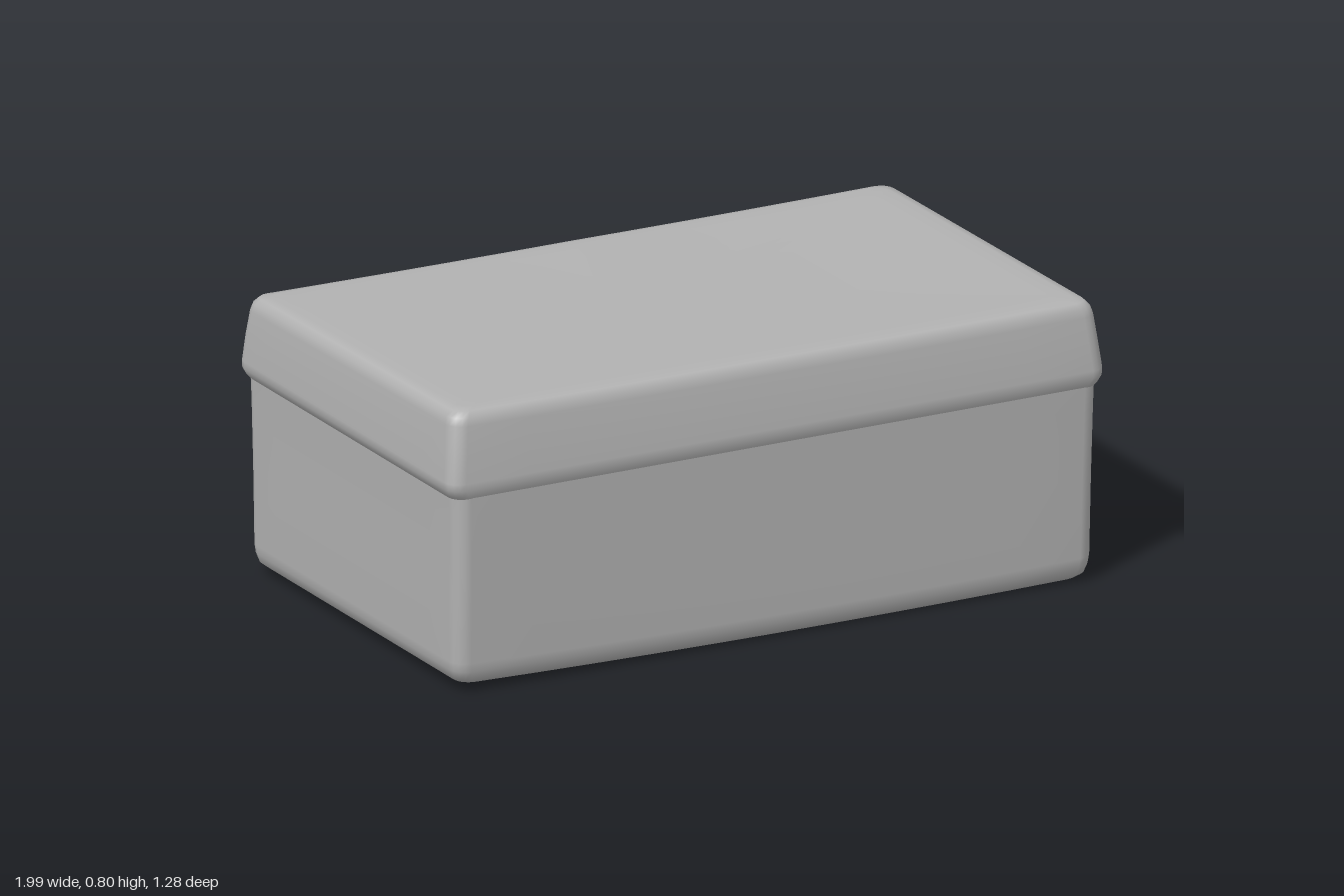
import * as THREE from 'three';

const grey = new THREE.MeshStandardMaterial({ color: 0xb2b2b2 });
grey.name = 'grey';

// Skin closed rings of points into one smooth surface
function loft(rings) {
  const n = rings[0].length, idx = [];
  for (let r = 0; r < rings.length - 1; r++) {
    for (let i = 0; i < n; i++) {
      const a = r * n + i, b = r * n + (i + 1) % n;
      idx.push(a, a + n, b, b, a + n, b + n);
    }
  }
  const g = new THREE.BufferGeometry();
  g.setAttribute('position', new THREE.Float32BufferAttribute(rings.flat(2), 3));
  g.setIndex(idx);
  g.computeVertexNormals();
  return g;
}

// Rounded rectangle ring at height y, with sides divided so it can be warped
function boxRing(y, w, zBack, zFront, radius, warp) {
  const pts = [], d = (zFront - zBack) / 2, zc = (zFront + zBack) / 2;
  const r = Math.min(radius, w, d), signs = [[1, 1], [-1, 1], [-1, -1], [1, -1]];
  const corner = (c, k) => {
    const t = (c + k / 4) * Math.PI / 2;
    return [signs[c][0] * (w - r) + r * Math.cos(t), signs[c][1] * (d - r) + r * Math.sin(t)];
  };
  for (let c = 0; c < 4; c++) {
    for (let k = 0; k < 4; k++) pts.push(corner(c, k));
    const a = corner(c, 4), b = corner((c + 1) % 4, 0);
    for (let k = 0; k < 10; k++) pts.push([a[0] + (b[0] - a[0]) * k / 10, a[1] + (b[1] - a[1]) * k / 10]);
  }
  return pts.map(([x, z]) => [x, y + warp(x, z), z + zc]);
}

// Flat outline extruded backwards from depth z
function plate(points, depth, z) {
  const g = new THREE.ExtrudeGeometry(new THREE.Shape(points.map(p => new THREE.Vector2(...p))),
    { depth, bevelEnabled: false });
  return g.translate(0, 0, z - depth);
}

export function createModel() {
  const model = new THREE.Group();
  const add = (name, geometry) => {
    const m = new THREE.Mesh(geometry, grey);
    m.name = name;
    model.add(m);
    return m;
  };
  const noWarp = () => 0;
  const topWarp = (x, z) => 0.008 * x * x + 0.012 * z - 0.008 * Math.max(0, x);
  const baseWarp = x => 0.012 * (x - 0.3) * (x - 0.3);

  // Lower case: [y, half width, back z, front z, corner radius]
  const body = [
    [0.003, 0.001, 0.03, 0.032, 0.05], [0.003, 0.5, -0.25, 0.32, 0.05], [0.003, 0.92, -0.49, 0.565, 0.04],
    [0.007, 0.94, -0.512, 0.587, 0.04], [0.02, 0.957, -0.53, 0.603, 0.04], [0.045, 0.966, -0.538, 0.613, 0.045],
    [0.07, 0.969, -0.54, 0.616, 0.045], [0.3, 0.971, -0.543, 0.622, 0.045], [0.5, 0.974, -0.547, 0.628, 0.045],
    [0.57, 0.976, -0.549, 0.63, 0.045],
  ];
  add('lowerCase', loft(body.map((p, i) => boxRing(...p, i < 7 ? baseWarp : noWarp))));

  // Overhanging lid, leaning in towards its softly sagging top
  const lid = [
    [0.55, 0.97, -0.545, 0.625, 0.045], [0.565, 0.985, -0.555, 0.632, 0.045], [0.585, 0.995, -0.56, 0.638, 0.045],
    [0.605, 0.996, -0.56, 0.638, 0.045], [0.68, 0.988, -0.554, 0.628, 0.045], [0.745, 0.98, -0.545, 0.617, 0.045],
    [0.767, 0.974, -0.539, 0.611, 0.045], [0.782, 0.96, -0.526, 0.598, 0.04], [0.787, 0.935, -0.502, 0.574, 0.04],
    [0.787, 0.88, -0.45, 0.52, 0.04], [0.782, 0.5, -0.25, 0.3, 0.04], [0.781, 0.001, 0.03, 0.032, 0.04],
  ];
  add('lid', loft(lid.map((p, i) => boxRing(...p, i > 4 ? topWarp : noWarp))));

  // Curved carrying handle, thickest at the middle of its grip
  const steps = 36, sides = 12, handle = [];
  for (let i = -1; i <= steps + 1; i++) {
    const t = Math.PI * Math.min(Math.max(i, 0), steps) / steps, s = Math.sin(t), cap = i < 0 || i > steps ? 0.001 : 1;
    const a = (0.02 + 0.04 * s * s) * cap, b = (0.028 - 0.002 * s) * cap;
    const ring = [];
    for (let k = 0; k < sides; k++) {
      const f = -2 * Math.PI * k / sides, out = a * Math.cos(f);
      ring.push([Math.cos(t) * (0.43 + out), 0.37 - s * (0.28 + out), -0.58 - 0.025 * s + b * Math.sin(f)]);
    }
    handle.push(ring);
  }
  add('handle', loft(handle));

  // Handle mounts: strap on the case and a pivot lug
  for (const side of [1, -1]) {
    add('handleStrap', new THREE.BoxGeometry(0.05, 0.17, 0.025)).position.set(side * 0.43, 0.44, -0.556);
    add('handleLug', new THREE.BoxGeometry(0.036, 0.04, 0.05)).position.set(side * 0.43, 0.365, -0.575);
  }

  // Lock plate with a raised centre strip and button
  add('lockPlate', plate([[-0.23, 0.22], [0.23, 0.22], [0.23, 0.54], [-0.23, 0.54]], 0.02, -0.54));
  add('lockStrip', plate([[-0.1, 0.2], [0.1, 0.2], [0.09, 0.52], [-0.09, 0.52]], 0.03, -0.54));
  const button = add('lockButton', new THREE.CylinderGeometry(0.032, 0.045, 0.025, 12));
  button.rotation.x = -Math.PI / 2;
  button.position.set(0, 0.31, -0.58);

  // Oval hinge plate on the lid
  const oval = add('hingePlate', new THREE.CylinderGeometry(1, 1.05, 0.025, 32));
  oval.scale.set(0.165, 1, 0.075);
  oval.rotation.x = -Math.PI / 2 - 0.12;
  oval.position.set(0, 0.635, -0.566);

  // Hasp hanging from the hinge plate, widening to a rounded tip
  const haspSections = [
    [0.69, 0.05, -0.568, -0.55], [0.685, 0.06, -0.574, -0.55], [0.57, 0.062, -0.604, -0.565],
    [0.53, 0.07, -0.615, -0.56], [0.48, 0.085, -0.628, -0.568], [0.44, 0.07, -0.637, -0.58], [0.42, 0.035, -0.638, -0.6],
  ];
  const hasp = haspSections.reverse().map(([y, w, zOut, zIn]) => boxRing(y, w, zOut, zIn, 0.012, noWarp));
  const close = ring => ring.map(p => [0, p[1], (ring[0][2] + ring[30][2]) / 2]);
  add('hasp', loft([close(hasp[0]), ...hasp, close(hasp[hasp.length - 1])]));

  return model;
}
